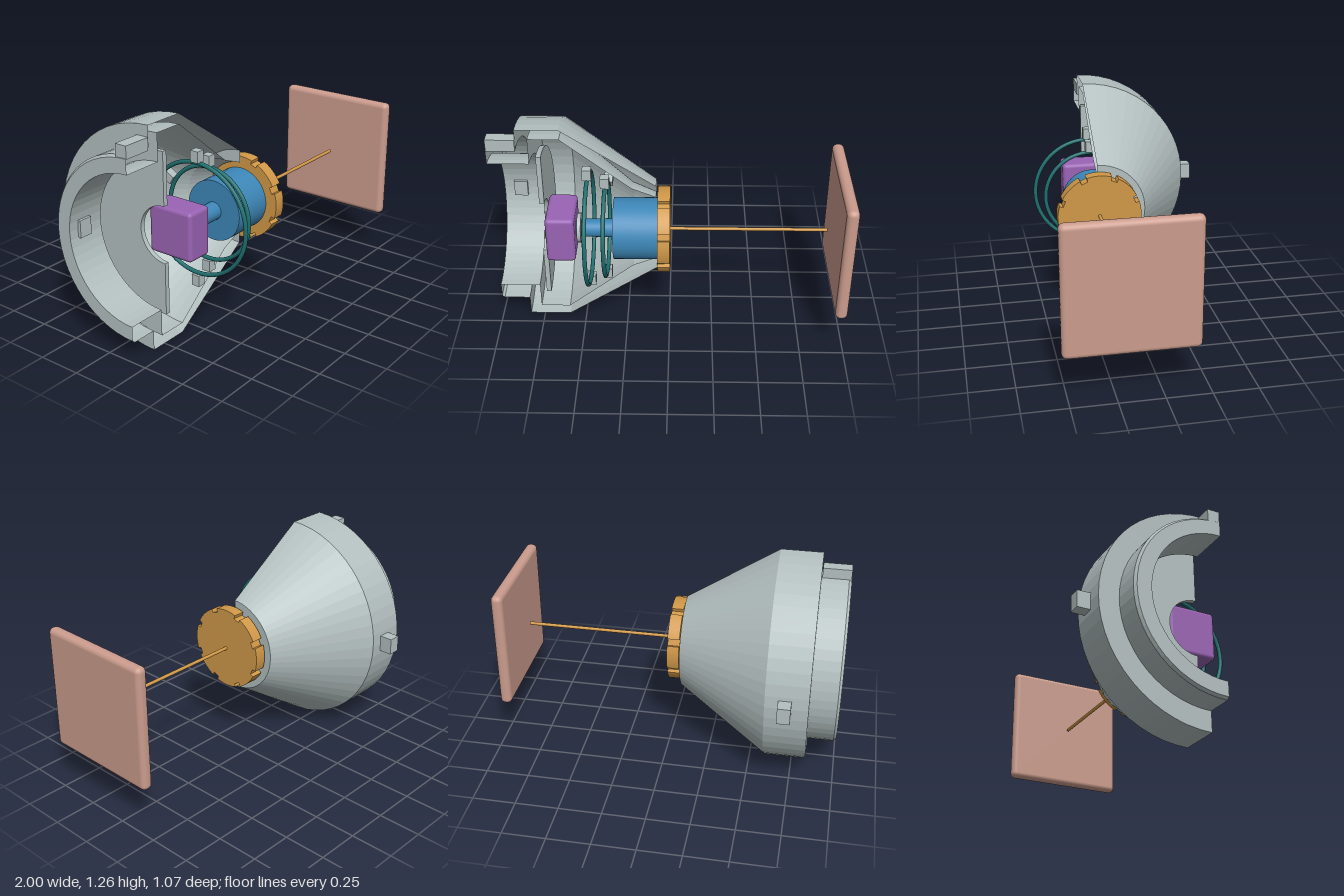
import * as THREE from 'three';
import { RoundedBoxGeometry } from 'three/addons/geometries/RoundedBoxGeometry.js';

const AXIS_Y = 0.635, AXIS_Z = 0.17;

function material(name, color, options = {}) {
  const m = new THREE.MeshStandardMaterial({ color, ...options });
  m.name = name;
  return m;
}

export function createModel() {
  const grey = material('shell grey', 0xb3bfbf, { side: THREE.DoubleSide, flatShading: true });
  const blue = material('motor blue', 0x3d87b8);
  const orange = material('cap orange', 0xd09848);
  const purple = material('block purple', 0x9a63b4);
  const teal = material('ring teal', 0x1f6f70);
  const pink = material('panel pink', 0xcb9c8d);

  const model = new THREE.Group();
  model.name = 'cutawayAssembly';
  // Everything is placed relative to the shared axis along x
  const body = new THREE.Group();
  body.name = 'axisGroup';
  body.position.set(0, AXIS_Y, AXIS_Z);
  model.add(body);

  function add(name, geometry, mat, x = 0, y = 0, z = 0) {
    const mesh = new THREE.Mesh(geometry, mat);
    mesh.name = name;
    mesh.position.set(x, y, z);
    body.add(mesh);
    return mesh;
  }
  // Cylinder lying along x between two stations
  function rod(name, x0, x1, radius, mat, sides = 40) {
    const g = new THREE.CylinderGeometry(radius, radius, x1 - x0, sides).rotateZ(-Math.PI / 2);
    return add(name, g, mat, (x0 + x1) / 2);
  }
  // Box standing on a radius; angle 0 is up, positive turns towards the back
  function radialBox(name, x, r0, r1, length, width, angle) {
    const mid = (r0 + r1) / 2;
    const mesh = add(name, new THREE.BoxGeometry(length, r1 - r0, width), grey,
      x, Math.cos(angle) * mid, -Math.sin(angle) * mid);
    mesh.rotation.x = -angle;
  }

  // Hollow half shell with open cut edges: [x, radius] around the wall
  const wall = [
    [-1, 0.42], [-1, 0.503], [-0.985, 0.516], [-0.835, 0.516], [-0.835, 0.632],
    [-0.597, 0.632], [-0.075, 0.282], [-0.075, 0.21], [-0.21, 0.265],
    [-0.597, 0.575], [-0.768, 0.575], [-0.768, 0.42], [-1, 0.42],
  ].map(([x, r]) => new THREE.Vector2(r, x));
  add('halfShell', new THREE.LatheGeometry(wall, 28, Math.PI / 2, Math.PI).rotateZ(-Math.PI / 2), grey);

  // Locating keys on the shell
  add('topKey', new THREE.BoxGeometry(0.16, 0.07, 0.07), grey, -0.918, 0.535, -0.035);
  radialBox('backPeg', -0.706, 0.62, 0.706, 0.072, 0.096, Math.PI / 2);
  radialBox('innerKey', -0.9, 0.4, 0.44, 0.08, 0.1, Math.PI / 2);

  // Half-ring divider
  const half = new THREE.Shape();
  half.absarc(0, 0, 0.465, -Math.PI / 2, Math.PI / 2, false);
  half.absarc(0, 0, 0.163, Math.PI / 2, -Math.PI / 2, true);
  half.closePath();
  const divider = new THREE.ExtrudeGeometry(half, { depth: 0.028, bevelEnabled: false, curveSegments: 28 });
  add('divider', divider.rotateY(Math.PI / 2), grey, -0.73);

  // Motor, shaft, washer and rear block
  rod('motor', -0.315, -0.065, 0.176, blue);
  rod('motorShaft', -0.53, -0.315, 0.052, blue, 24);
  rod('washer', -0.522, -0.5, 0.084, grey, 32);
  add('rearBlock', new RoundedBoxGeometry(0.162, 0.28, 0.28, 3, 0.022), purple, -0.609);

  // Two rings with their clips
  for (const [x, radius] of [[-0.456, 0.335], [-0.359, 0.283]]) {
    const g = new THREE.TorusGeometry(radius - 0.012, 0.012, 12, 64).rotateY(Math.PI / 2);
    add('ring', g, teal, x);
    for (const a of [0, Math.PI]) radialBox('ringClip', x, radius - 0.005, radius + 0.06, 0.05, 0.05, a);
  }
  for (const a of [Math.PI / 3, 2 * Math.PI / 3])
    radialBox('ringClip', -0.359, 0.278, 0.343, 0.05, 0.05, a);

  // End cap with eight rim notches
  const cap = new THREE.Shape();
  const R = 0.245, notch = 0.085, step = Math.PI / 4;
  for (let i = 0; i < 8; i++) {
    const c = (i + 0.5) * step;
    const at = (r, a) => [r * Math.cos(a), r * Math.sin(a)];
    if (i === 0) cap.moveTo(...at(R, c - notch));
    else cap.lineTo(...at(R, c - notch));
    cap.lineTo(...at(R - 0.022, c - notch));
    cap.lineTo(...at(R - 0.022, c + notch));
    cap.absarc(0, 0, R, c + notch, c + step - notch, false);
  }
  const capGeometry = new THREE.ExtrudeGeometry(cap, { depth: 0.07, bevelEnabled: false, curveSegments: 6 });
  add('endCap', capGeometry.rotateY(Math.PI / 2), orange, -0.066);
  rod('thinRod', 0, 0.893, 0.01, orange, 16);

  // Square panel at the far end
  add('panel', new RoundedBoxGeometry(0.068, 0.725, 0.725, 4, 0.03), pink, 0.963);

  return model;
}
